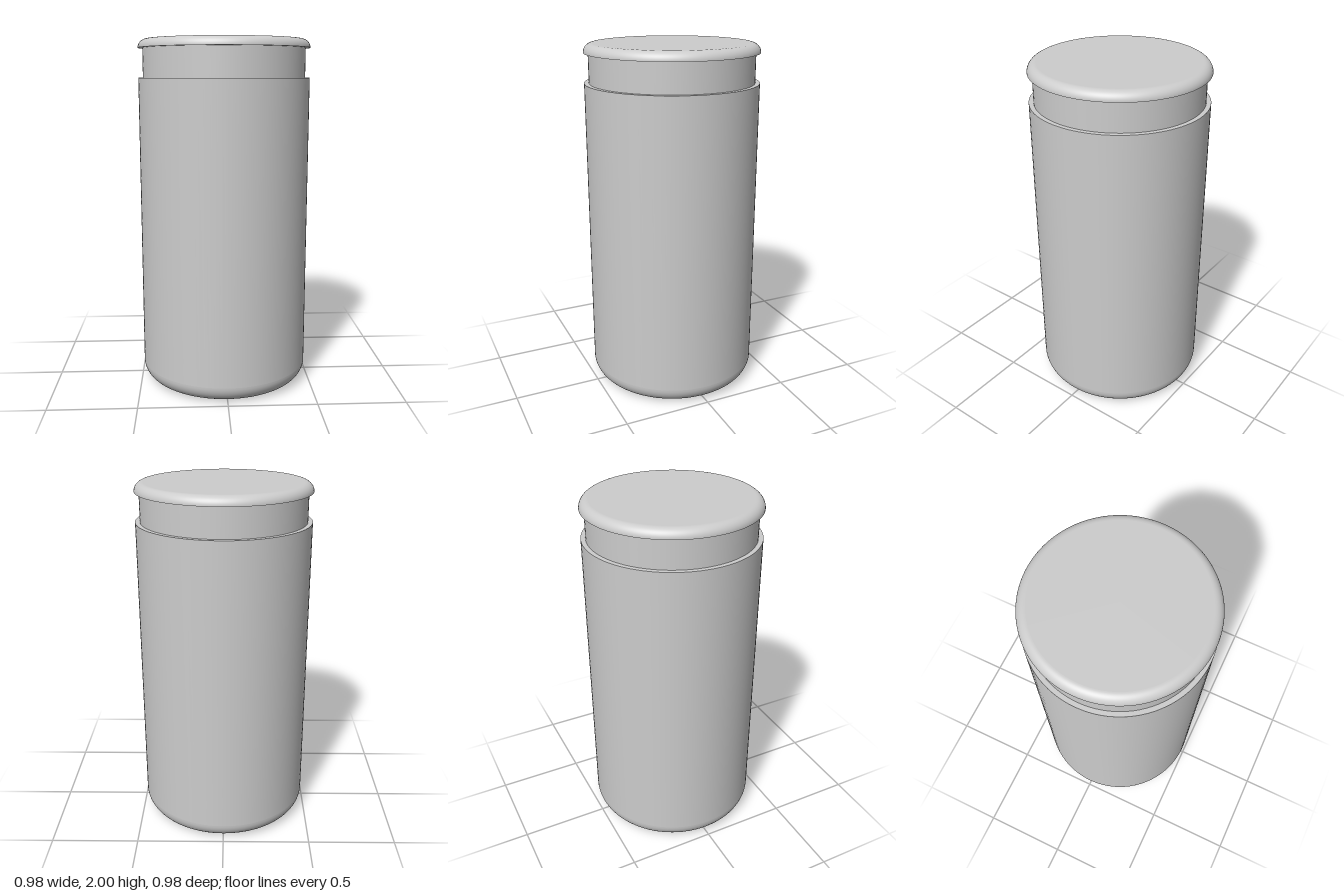
import * as THREE from 'three';
import { mergeGeometries } from 'three/addons/utils/BufferGeometryUtils.js';

const SIDES = 96;

// Quarter-round profile about (cx, cy), from angle a0 to a1 in degrees
function arc(cx, cy, r, a0, a1, steps = 14) {
  return Array.from({ length: steps + 1 }, (_, i) => {
    const a = THREE.MathUtils.degToRad(a0 + (a1 - a0) * i / steps);
    return [cx + r * Math.cos(a), cy + r * Math.sin(a)];
  });
}

// Each section is turned separately, so edges between sections stay crisp
function turned(name, material, sections) {
  const parts = sections.map((points) =>
    new THREE.LatheGeometry(points.map(([x, y]) => new THREE.Vector2(x, y)), SIDES));
  const mesh = new THREE.Mesh(mergeGeometries(parts), material);
  mesh.name = name;
  return mesh;
}

export function createModel() {
  const grey = new THREE.MeshStandardMaterial({ color: 0xcccccc });
  grey.name = 'light grey';

  const R = 0.489, NECK = 0.463;      // outer and neck radius
  const SHOULDER = 1.785, LID = 1.95; // heights of body rim and lid underside
  const ROUND = 0.1, EDGE = 0.05;     // base and lid rounding

  const group = new THREE.Group();
  group.name = 'jar';
  group.add(
    // Body: flat base, rounded lower edge, straight wall, narrow shoulder
    turned('body', grey, [
      [[0, 0], [R - ROUND, 0]],
      arc(R - ROUND, ROUND, ROUND, -90, 0),
      [[R, ROUND], [R, SHOULDER]],
      [[R, SHOULDER], [NECK, SHOULDER]],
    ]),
    // Recessed neck
    turned('neck', grey, [[[NECK, SHOULDER], [NECK, LID]]]),
    // Lid: overhanging underside, rounded rim, flat top
    turned('lid', grey, [
      [[NECK, LID], [R, LID]],
      arc(R - EDGE, LID, EDGE, 0, 90),
      [[R - EDGE, 2], [0, 2]],
    ]),
  );
  return group;
}
